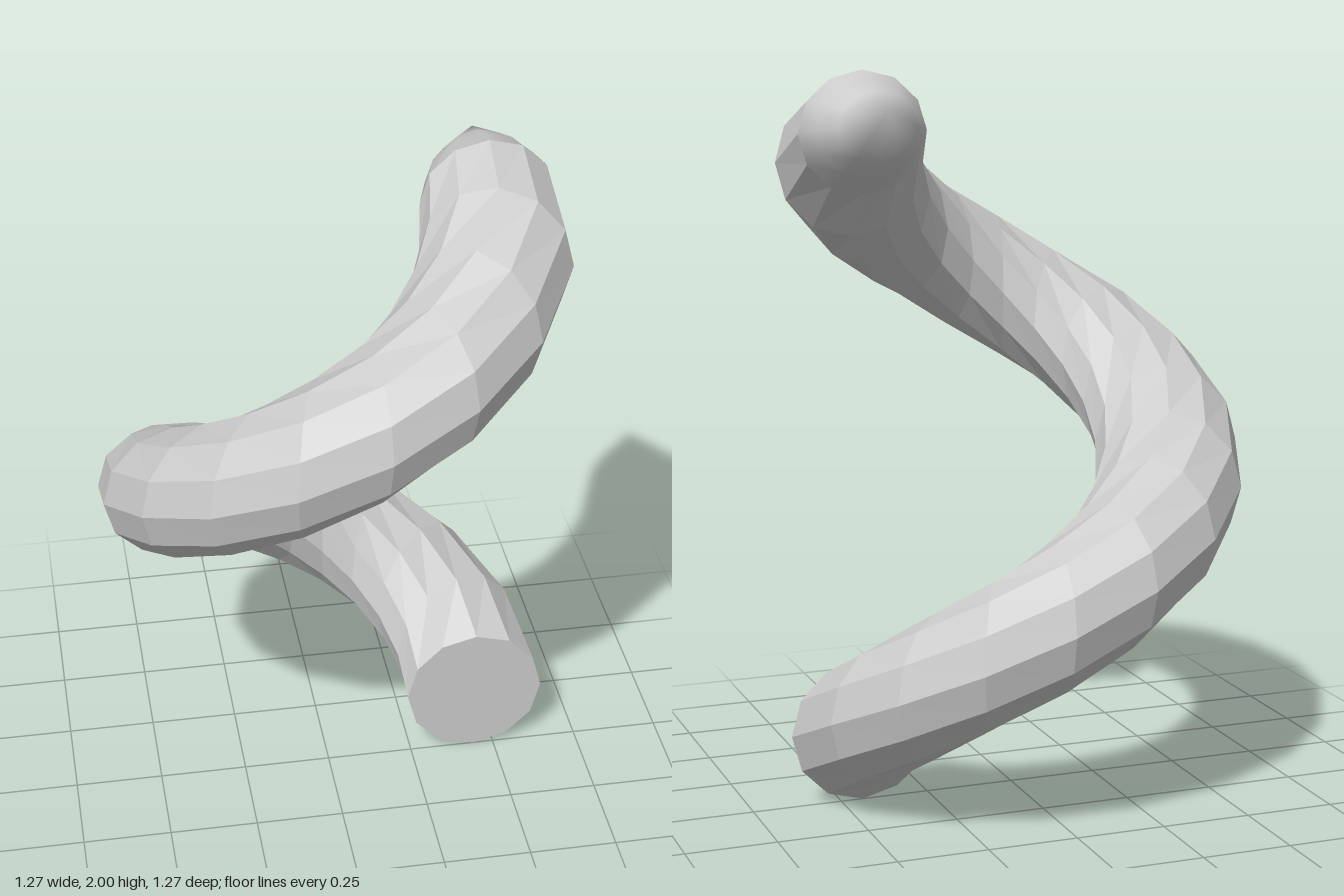
import * as THREE from 'three';

const SIDES = 12, STEPS = 17;
const R = 0.438, TUBE = 0.2, RISE = 0.0965;

// One cross-section: an ellipse in the upright plane that faces along the coil
function ring(angle, radius, y, z, rx, ry) {
  return Array.from({ length: SIDES }, (_, j) => {
    const a = (j / SIDES) * Math.PI * 2;
    const d = radius + rx * Math.cos(a);
    return [d * Math.cos(angle), y + ry * Math.sin(a), z - d * Math.sin(angle)];
  });
}

// Skin a row of rings, with an optional flat start cap and an optional end point
function skin(rings, startCap, apex) {
  const pos = rings.flat(2), idx = [];
  const last = (rings.length - 1) * SIDES;
  for (let i = 0; i < rings.length - 1; i++) {
    for (let j = 0; j < SIDES; j++) {
      const a = i * SIDES + j, b = i * SIDES + (j + 1) % SIDES;
      idx.push(a, a + SIDES, b, b, a + SIDES, b + SIDES);
    }
  }
  if (startCap) for (let j = 1; j < SIDES - 1; j++) idx.push(0, j, j + 1);
  if (apex) {
    pos.push(...apex);
    for (let j = 0; j < SIDES; j++) idx.push(last + j, last + SIDES, last + (j + 1) % SIDES);
  }
  const g = new THREE.BufferGeometry();
  g.setAttribute('position', new THREE.Float32BufferAttribute(pos, 3));
  g.setIndex(idx);
  g.computeVertexNormals();
  return g;
}

export function createModel() {
  const group = new THREE.Group();
  group.name = 'coil';

  // Body: one full turn of constant thickness, narrowing at its last ring
  const rings = [];
  for (let i = 0; i < STEPS; i++) {
    rings.push(ring((i / STEPS) * Math.PI * 2, R, TUBE + i * RISE, 0, TUBE, TUBE));
  }
  const endRing = ring(0, 0.417, 1.836, 0, 0.178, 0.164);
  rings.push(endRing);
  const body = new THREE.Mesh(
    skin(rings, true),
    new THREE.MeshStandardMaterial({ color: 0xcccccc, flatShading: true })
  );
  body.name = 'coilBody';

  // Tip: smooth taper to a point
  const tip = new THREE.Mesh(
    skin([
      endRing,
      ring(0, 0.422, 1.848, -0.09, 0.152, 0.128),
      ring(0, 0.425, 1.86, -0.16, 0.108, 0.092),
    ], false, [0.433, 1.91, -0.272]),
    new THREE.MeshStandardMaterial({ color: 0xcccccc })
  );
  tip.name = 'pointedTip';

  group.add(body, tip);
  return group;
}
